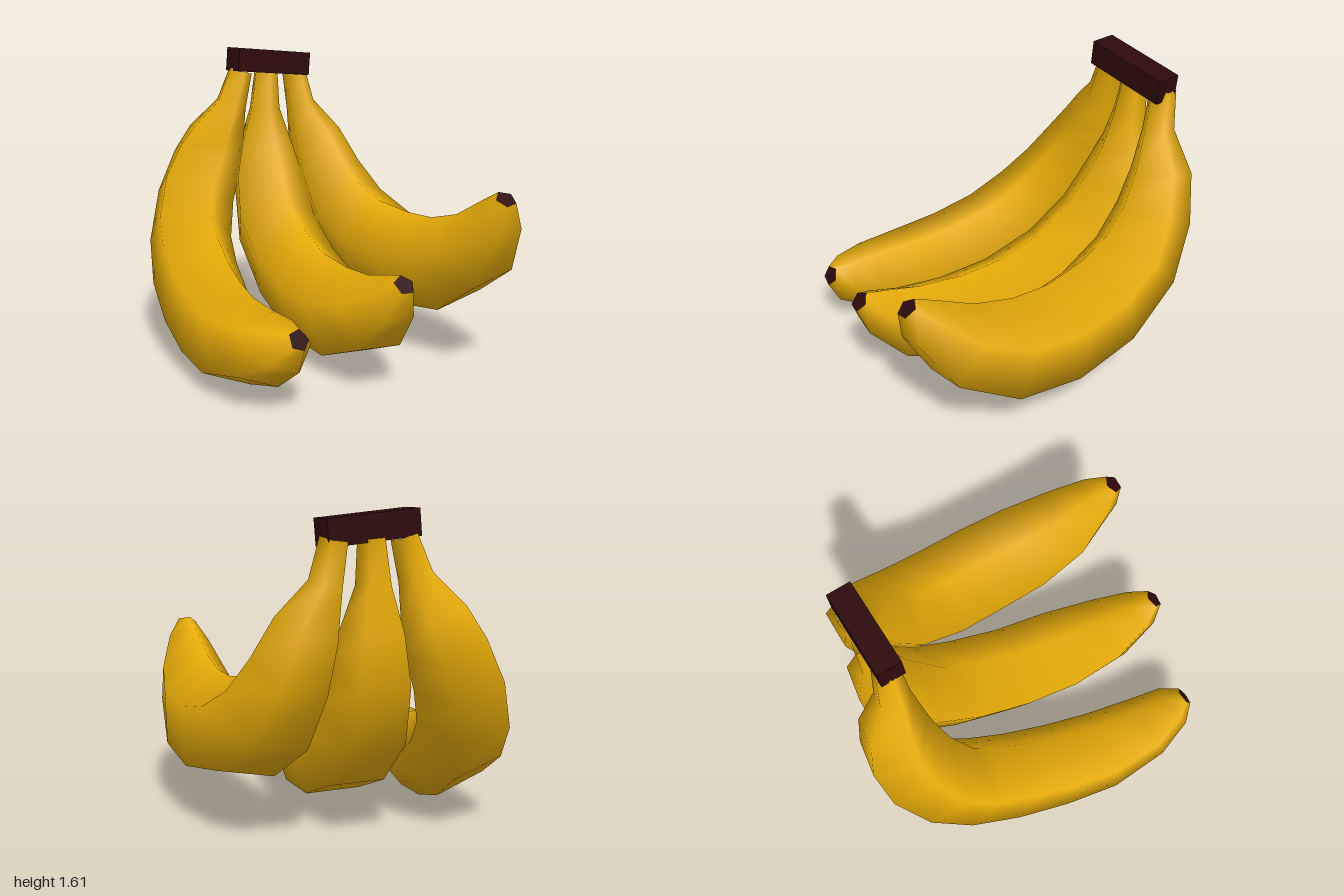
import * as THREE from 'three';

const yellow = new THREE.MeshStandardMaterial({ color: 0xe6ab08 });
const brown = new THREE.MeshStandardMaterial({ color: 0x2e0a0c });
const SIDES = 5;

// Centre line of each fruit from stem to tip: [x, y, z, half thickness]
const fruits = {
  frontBanana: [
    [-0.695, 1.47, -0.06, 0.065], [-0.715, 1.28, -0.005, 0.085], [-0.77, 1.09, 0.065, 0.165],
    [-0.79, 0.97, 0.115, 0.195], [-0.765, 0.80, 0.21, 0.213], [-0.67, 0.60, 0.315, 0.222],
    [-0.53, 0.455, 0.385, 0.23], [-0.32, 0.33, 0.46, 0.23], [-0.08, 0.26, 0.54, 0.225],
    [0.16, 0.235, 0.612, 0.215], [0.43, 0.27, 0.66, 0.175], [0.60, 0.325, 0.665, 0.12],
    [0.68, 0.37, 0.67, 0.05],
  ],
  middleBanana: [
    [-0.69, 1.47, -0.24, 0.065], [-0.68, 1.25, -0.22, 0.085], [-0.68, 1.05, -0.22, 0.15],
    [-0.63, 0.85, -0.20, 0.20], [-0.52, 0.62, -0.16, 0.225], [-0.29, 0.43, -0.11, 0.235],
    [0.00, 0.32, -0.04, 0.235], [0.30, 0.30, 0.03, 0.23], [0.58, 0.37, 0.105, 0.185],
    [0.76, 0.49, 0.145, 0.115], [0.84, 0.57, 0.16, 0.05],
  ],
  backBanana: [
    [-0.68, 1.47, -0.44, 0.065], [-0.64, 1.26, -0.46, 0.08], [-0.59, 1.06, -0.53, 0.155],
    [-0.51, 0.86, -0.565, 0.195], [-0.37, 0.665, -0.585, 0.232], [-0.12, 0.53, -0.59, 0.25],
    [0.18, 0.485, -0.58, 0.25], [0.46, 0.51, -0.54, 0.24], [0.72, 0.635, -0.48, 0.195],
    [0.89, 0.82, -0.435, 0.117], [0.96, 0.925, -0.41, 0.05],
  ],
};

function indexedGeometry(positions, index) {
  const g = new THREE.BufferGeometry();
  g.setAttribute('position', new THREE.Float32BufferAttribute(positions, 3));
  g.setIndex(index);
  g.computeVertexNormals();
  return g;
}

// Five-sided rings along the centre line, one ridge on the inside of the bend
function banana(name, line) {
  const pts = line.map(([x, y, z]) => new THREE.Vector3(x, y, z));
  const last = pts.length - 1;
  const chord = pts[last].clone().sub(pts[0]);
  const bendNormal = chord.cross(pts[last >> 1].clone().sub(pts[0]));
  const positions = [];
  const index = [];

  pts.forEach((p, i) => {
    const tangent = pts[Math.min(i + 1, last)].clone().sub(pts[Math.max(i - 1, 0)]).normalize();
    const inner = tangent.clone().cross(bendNormal).normalize();
    const side = tangent.clone().cross(inner);
    const r = line[i][3] * 1.08;
    for (let j = 0; j < SIDES; j++) {
      const a = (j / SIDES) * Math.PI * 2;
      const v = p.clone()
        .addScaledVector(inner, r * (Math.cos(a) - 0.095))
        .addScaledVector(side, r * Math.sin(a));
      positions.push(v.x, v.y, v.z);
      if (i === last) continue;
      const k = i * SIDES;
      const n = (j + 1) % SIDES;
      index.push(k + j, k + n, k + SIDES + n, k + j, k + SIDES + n, k + SIDES + j);
    }
  });

  const group = new THREE.Group();
  group.name = name;
  const skin = new THREE.Mesh(indexedGeometry(positions, index), yellow);
  skin.name = 'skin';
  // Dark flat tip closing the last ring
  const tip = new THREE.Mesh(
    indexedGeometry(positions.slice(-SIDES * 3), [0, 1, 2, 0, 2, 3, 0, 3, 4]), brown);
  tip.name = 'tip';
  group.add(skin, tip);
  return group;
}

export function createModel() {
  const model = new THREE.Group();
  model.name = 'bananaBunch';
  for (const [name, line] of Object.entries(fruits)) model.add(banana(name, line));

  // Crown joining the three stems
  const crown = new THREE.Mesh(new THREE.BoxGeometry(0.13, 0.13, 0.49), brown);
  crown.name = 'crown';
  crown.position.set(-0.675, 1.515, -0.25);
  crown.rotation.set(-0.09, -0.07, 0);
  model.add(crown);
  return model;
}
